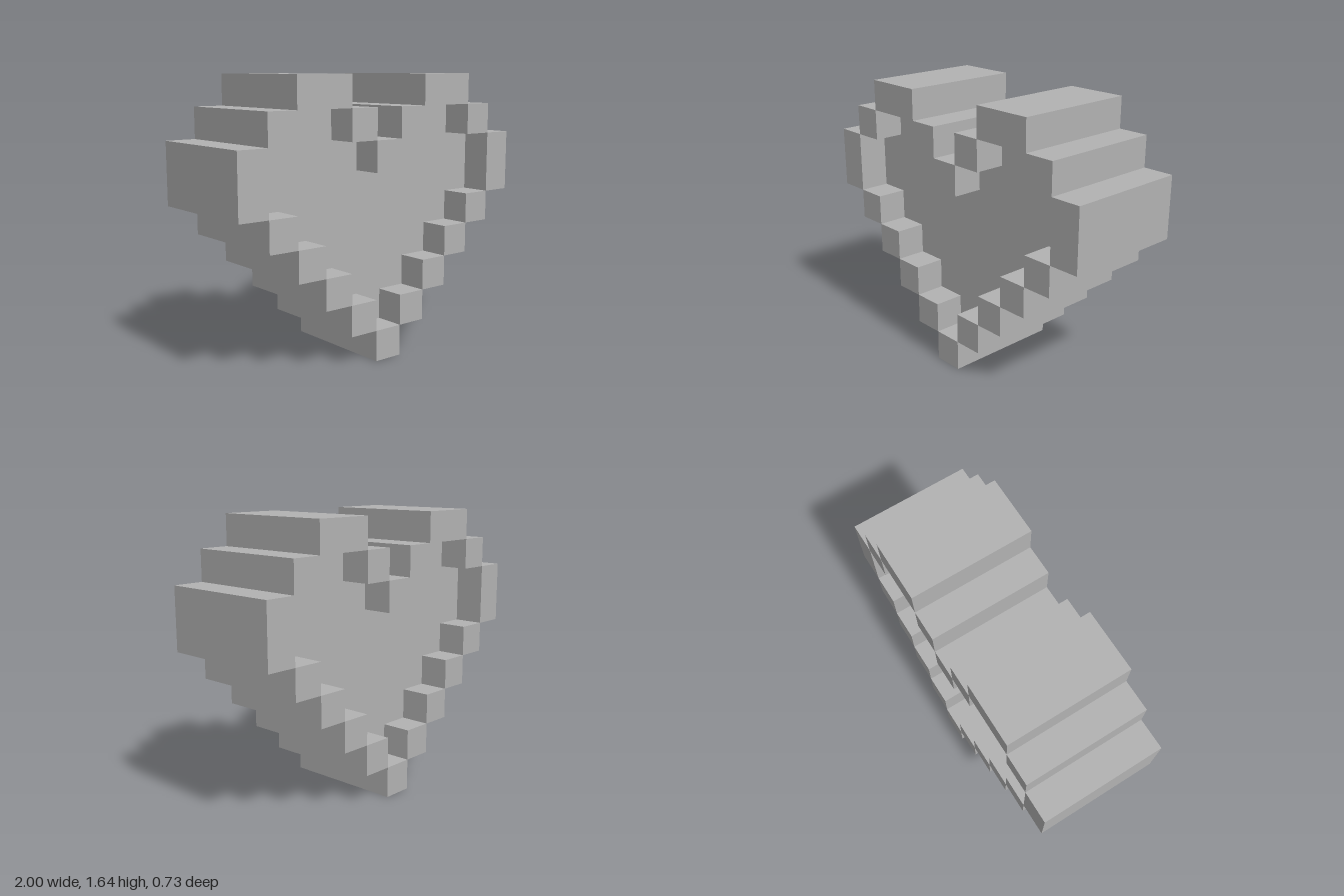
import * as THREE from 'three';

// One block of the grid: the heart is 11 blocks wide, 9 tall and 4 deep
const U = 2 / 11;

export function createModel() {
  const model = new THREE.Group();
  model.name = 'blockHeart';
  const grey = new THREE.MeshStandardMaterial({ color: 0xb2b2b2 });
  grey.name = 'grey';

  // Full-depth rim block, given by its edges in grid units
  const rim = new THREE.Group();
  rim.name = 'rim';
  model.add(rim);
  const addBlock = (name, x0, x1, y0, y1) => {
    const block = new THREE.Mesh(new THREE.BoxGeometry((x1 - x0) * U, (y1 - y0) * U, 4 * U), grey);
    block.position.set((x0 + x1) / 2 * U, (y0 + y1) / 2 * U, 0);
    block.name = name;
    rim.add(block);
  };

  // Centre blocks: bottom tip and the notch between the lobes
  addBlock('tipBlock', -0.5, 0.5, 0, 1);
  addBlock('notchBlock', -0.5, 0.5, 6, 7);

  // Mirrored rim blocks: lower stairs, flank, shoulders and lobe top
  const addPair = (name, x0, x1, y0, y1) => {
    addBlock(name + 'Left', x0, x1, y0, y1);
    addBlock(name + 'Right', -x1, -x0, y0, y1);
  };
  for (let i = 1; i <= 4; i++) addPair('stairBlock' + i, i - 0.5, i + 0.5, i, i + 1);
  addPair('flankBlock', 4.5, 5.5, 5, 7);
  addPair('outerShoulderBlock', 3.5, 4.5, 7, 8);
  addPair('innerShoulderBlock', 0.5, 1.5, 7, 8);
  addPair('lobeTopBlock', 1.5, 3.5, 8, 9);

  // Stepped panel, recessed by one block at front and back
  const half = [];
  for (let i = 1; i <= 5; i++) half.push([i - 0.5, i], [i - 0.5, i + 1]);
  half.pop();
  half.push([4.5, 7], [3.5, 7], [3.5, 8], [1.5, 8], [1.5, 7], [0.5, 7], [0.5, 6]);
  const outline = [...half, ...half.map(([x, y]) => [-x, y]).reverse()];
  const shape = new THREE.Shape(outline.map(([x, y]) => new THREE.Vector2(x * U, y * U)));
  const panelGeometry = new THREE.ExtrudeGeometry(shape, { depth: 2 * U, bevelEnabled: false });
  panelGeometry.translate(0, 0, -U);
  const panel = new THREE.Mesh(panelGeometry, grey);
  panel.name = 'recessedPanel';
  model.add(panel);

  return model;
}
